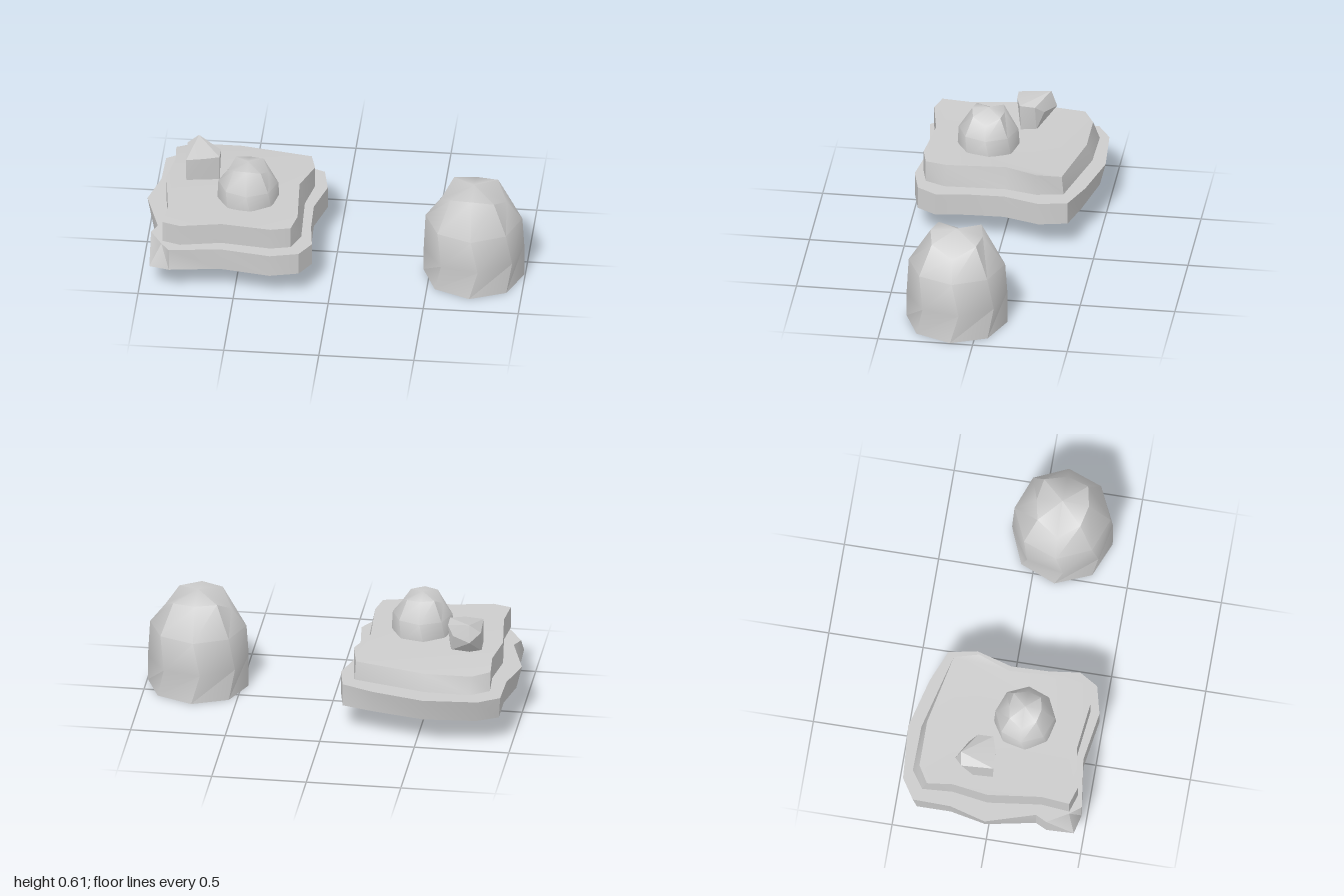
import * as THREE from 'three';
import { toCreasedNormals } from 'three/addons/utils/BufferGeometryUtils.js';
import { ConvexGeometry } from 'three/addons/geometries/ConvexGeometry.js';

const stone = new THREE.MeshStandardMaterial({ color: 0xcccccc, side: THREE.DoubleSide });
stone.name = 'pale stone';

function addMesh(parent, name, geometry, crease) {
  const mesh = new THREE.Mesh(toCreasedNormals(geometry, crease), stone);
  mesh.name = name;
  parent.add(mesh);
  return mesh;
}

function buildGeometry(points, index) {
  const geometry = new THREE.BufferGeometry().setFromPoints(points);
  geometry.setIndex(index);
  return geometry;
}

// Closed slab; each corner is [x, z] at the top, with an optional [x, z] at the bottom
function slabGeometry(corners, bottomY, topY) {
  const n = corners.length;
  const top = corners.map(([x, z]) => new THREE.Vector3(x, topY(z), z));
  const bottom = corners.map(([x, z, bx = x, bz = z]) => new THREE.Vector3(bx, bottomY, bz));
  const index = [];
  for (let i = 0; i < n; i++) {
    const j = (i + 1) % n;
    index.push(n + i, i, j, n + i, j, n + j);
  }
  const cap = (ring, offset, flip) => {
    const flat = ring.map((p) => new THREE.Vector2(p.x, p.z));
    for (const [a, b, c] of THREE.ShapeUtils.triangulateShape(flat, [])) {
      index.push(...(flip ? [c, b, a] : [a, b, c]).map((k) => k + offset));
    }
  };
  cap(top, 0, true);
  cap(bottom, n, false);
  return buildGeometry([...top, ...bottom], index);
}

// Eight-sided boulder, open underneath, from stacked rings and an apex
function boulderGeometry() {
  const sides = 8;
  const rings = [
    { r: 0.266, y: 0, turn: 0 },
    { r: 0.264, y: 0.16, turn: 0.17 },
    { r: 0.254, y: 0.343, turn: 0.03 },
  ];
  // Crown corners as [radius, height], starting at +x and turning towards -z
  const crown = [
    [0.172, 0.447], [0.165, 0.505], [0.137, 0.503], [0.162, 0.51],
    [0.175, 0.442], [0.16, 0.51], [0.14, 0.522], [0.165, 0.5],
  ];
  const points = [];
  const put = (r, y, a) => points.push(new THREE.Vector3(r * Math.cos(a), y, -r * Math.sin(a)));
  for (const { r, y, turn } of rings) {
    for (let i = 0; i < sides; i++) put(r, y, (i * Math.PI) / 4 + turn);
  }
  crown.forEach(([r, y], i) => put(r, y, (i * Math.PI) / 4));
  points.push(new THREE.Vector3(0, 0.541, 0));
  const apex = points.length - 1;
  const index = [];
  for (let k = 0; k <= rings.length; k++) {
    for (let i = 0; i < sides; i++) {
      const a = k * sides + i;
      const b = k * sides + ((i + 1) % sides);
      if (k === rings.length) index.push(a, b, apex);
      else index.push(a, b, b + sides, a, b + sides, a + sides);
    }
  }
  return buildGeometry(points, index);
}

export function createModel() {
  const model = new THREE.Group();
  model.name = 'rockFormation';

  // Lower ledge, with a few corners slanting between top and bottom
  const lower = [
    [-0.94, -0.40, -0.93, -0.38], [-0.83, -0.47, -0.82, -0.44], [-0.54, -0.49, -0.54, -0.46],
    [-0.27, -0.42, -0.27, -0.40], [-0.10, -0.35], [-0.07, -0.20], [-0.125, -0.01],
    [-0.12, 0.19], [-0.10, 0.35], [-0.16, 0.45], [-0.31, 0.487], [-0.575, 0.445],
    [-0.84, 0.48], [-0.885, 0.42, -0.945, 0.455], [-0.95, 0.31],
    [-0.92, 0.25], [-1.0, -0.01, -0.97, -0.01], [-0.945, -0.20, -0.93, -0.20],
  ];
  addMesh(model, 'lowerLedge', slabGeometry(lower, 0.145, () => 0.267), 0.6);

  // Upper ledge, dipping slightly towards the back
  const upper = [
    [-0.88, -0.335, -0.88, -0.36], [-0.785, -0.39, -0.785, -0.425], [-0.54, -0.39, -0.54, -0.42],
    [-0.165, -0.31, -0.16, -0.32], [-0.135, -0.18], [-0.20, -0.01, -0.172, -0.01],
    [-0.18, 0.30, -0.16, 0.31], [-0.205, 0.415], [-0.31, 0.44], [-0.57, 0.41],
    [-0.785, 0.45], [-0.88, 0.42], [-0.865, 0.27], [-0.90, -0.01], [-0.87, -0.20],
  ];
  const dip = (z) => 0.402 - 0.125 * Math.max(0, -0.18 - z);
  addMesh(model, 'upperLedge', slabGeometry(upper, 0.285, dip), 0.6);

  // Large free-standing boulder and a smaller copy set into the upper ledge
  const large = addMesh(model, 'largeBoulder', boulderGeometry(), 0.8);
  large.position.set(0.73, 0, 0.12);
  const small = addMesh(model, 'smallBoulder', boulderGeometry(), 0.8);
  small.scale.setScalar(0.62);
  small.position.set(-0.457, 0.275, 0.117);

  // Angular stone behind the small boulder
  const corners = [
    [-0.745, 0.57, -0.175], [-0.75, 0.48, -0.205], [-0.805, 0.525, -0.165], [-0.795, 0.525, 0.005],
    [-0.70, 0.535, 0], [-0.622, 0.535, -0.025], [-0.622, 0.53, -0.105], [-0.655, 0.49, -0.15],
    [-0.795, 0.39, 0], [-0.622, 0.39, -0.03], [-0.64, 0.39, -0.11], [-0.74, 0.39, -0.13],
    [-0.80, 0.39, -0.10],
  ];
  const shard = new ConvexGeometry(corners.map((p) => new THREE.Vector3(...p)));
  addMesh(model, 'angularStone', shard, 0.3);

  return model;
}
